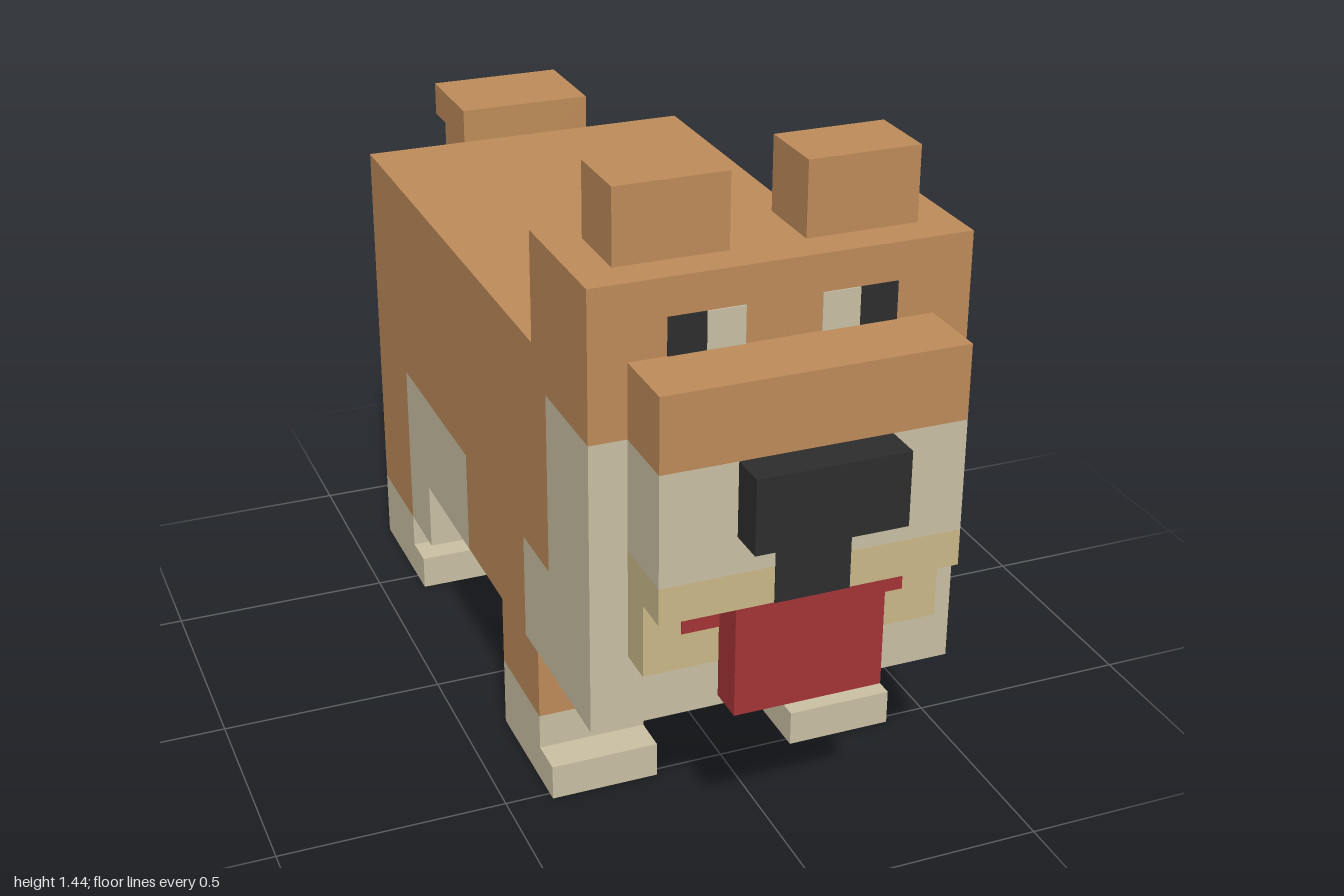
import * as THREE from 'three';

const mat = (name, color) => Object.assign(new THREE.MeshStandardMaterial({ color }), { name });

export function createModel() {
  const model = new THREE.Group();
  model.name = 'blockDog';

  const fur = mat('orangeFur', 0xbd8b59);
  const cream = mat('creamFur', 0xc9bfa3);
  const tan = mat('tanMuzzle', 0xc9b887);
  const black = mat('black', 0x2d2d2d);
  const red = mat('tongueRed', 0xa33336);

  // Box given by its limits on each axis
  const block = (name, material, [x0, x1], [y0, y1], [z0, z1]) => {
    const mesh = new THREE.Mesh(new THREE.BoxGeometry(x1 - x0, y1 - y0, z1 - z0), material);
    mesh.position.set((x0 + x1) / 2, (y0 + y1) / 2, (z0 + z1) / 2);
    mesh.name = name;
    model.add(mesh);
  };
  // The same box on both sides of the body
  const pair = (name, material, [x0, x1], y, z) => {
    block(name + 'Left', material, [x0, x1], y, z);
    block(name + 'Right', material, [-x1, -x0], y, z);
  };

  const full = [-0.4, 0.4], core = [-0.32, 0.32], skin = [0.32, 0.4], leg = [0.16, 0.4];

  // Body: plain back, and a lower half whose outer layer carries the patches
  block('back', fur, full, [0.56, 1.04], [-0.76, 0.52]);
  block('belly', fur, core, [0.32, 0.56], [-0.76, 0.52]);
  pair('rump', fur, skin, [0.32, 0.56], [-0.76, -0.52]);
  pair('hipPatch', cream, skin, [0.32, 0.56], [-0.52, -0.04]);
  pair('flank', fur, skin, [0.32, 0.56], [-0.04, 0.36]);
  pair('shoulderPatch', cream, skin, [0.32, 0.56], [0.36, 0.52]);

  // Chest and head
  block('chest', cream, full, [0.32, 0.96], [0.52, 0.76]);
  block('headFront', fur, full, [0.96, 1.28], [0.52, 0.76]);
  block('headBack', fur, full, [1.04, 1.28], [0.44, 0.52]);
  pair('ear', fur, [0.08, 0.32], [1.28, 1.44], [0.52, 0.68]);
  pair('pupil', black, [0.16, 0.24], [1.12, 1.2], [0.756, 0.763]);
  pair('eyeWhite', cream, [0.08, 0.16], [1.12, 1.2], [0.756, 0.763]);

  // Muzzle, nose and mouth
  block('muzzleTop', fur, core, [0.96, 1.12], [0.76, 0.92]);
  block('muzzle', cream, core, [0.72, 0.96], [0.76, 0.92]);
  block('lip', tan, core, [0.64, 0.72], [0.76, 0.92]);
  block('jaw', tan, core, [0.48, 0.64], [0.76, 0.84]);
  block('nose', black, [-0.16, 0.16], [0.8, 0.96], [0.92, 1]);
  block('noseStripe', black, [-0.08, 0.08], [0.64, 0.8], [0.916, 0.923]);
  block('tongue', red, [-0.16, 0.16], [0.4, 0.64], [0.84, 0.92]);
  pair('mouthCorner', red, [0.16, 0.24], [0.56, 0.64], [0.836, 0.843]);

  // Front legs
  pair('frontLeg', fur, leg, [0.16, 0.32], [0.2, 0.44]);
  pair('frontPaw', cream, leg, [0, 0.16], [0.2, 0.44]);
  pair('frontToe', cream, leg, [0, 0.08], [0.44, 0.52]);

  // Hind legs, with a cream outer layer on the thigh
  pair('hindLeg', fur, leg, [0.16, 0.32], [-0.76, -0.52]);
  pair('thigh', fur, [0.16, 0.32], [0.16, 0.32], [-0.52, -0.36]);
  pair('thighPatch', cream, skin, [0.16, 0.32], [-0.52, -0.36]);
  pair('hindPaw', cream, leg, [0, 0.16], [-0.76, -0.52]);
  pair('hindToe', cream, leg, [0, 0.08], [-0.52, -0.44]);

  // Tail with a curled tip
  block('tail', fur, [-0.16, 0.16], [0.8, 1.12], [-0.92, -0.76]);
  block('tailTip', fur, [-0.16, 0.16], [1.04, 1.12], [-1, -0.92]);

  return model;
}
